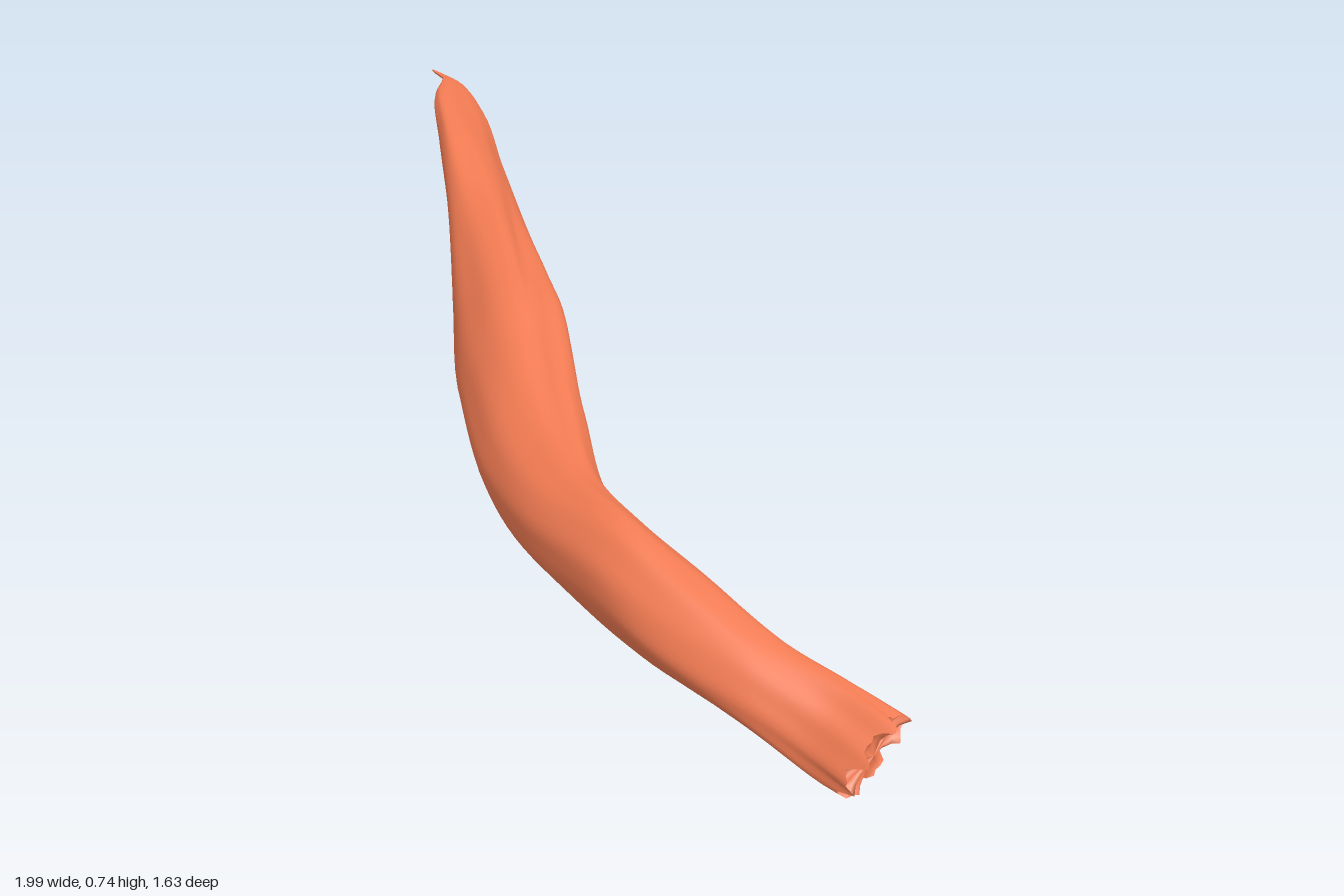
import * as THREE from 'three';

// Cross-sections from pointed tip to frayed end:
// centre x, y, z, half width, half height, tilt (positive: back edge raised)
const SECTIONS = [
  [-0.995, 0.74, -0.81, 0.004, 0.003, -0.6],
  [-0.935, 0.72, -0.8, 0.028, 0.018, -0.8],
  [-0.875, 0.685, -0.74, 0.062, 0.046, -0.85],
  [-0.77, 0.622, -0.61, 0.078, 0.08, -0.65],
  [-0.605, 0.543, -0.40, 0.092, 0.094, -0.25],
  [-0.44, 0.47, -0.18, 0.112, 0.114, 0.15],
  [-0.28, 0.398, 0.03, 0.127, 0.117, 0.4],
  [-0.12, 0.327, 0.235, 0.122, 0.1, 0.4],
  [0.055, 0.282, 0.42, 0.10, 0.094, 0.3],
  [0.24, 0.254, 0.535, 0.086, 0.108, 0.25],
  [0.43, 0.207, 0.61, 0.093, 0.094, 0.35],
  [0.64, 0.152, 0.67, 0.082, 0.075, 0.5],
  [0.83, 0.098, 0.703, 0.072, 0.08, 0.8],
  [0.945, 0.077, 0.735, 0.076, 0.074, 0.9],
];
const SIDES = 48;
const RINGS = 84;

const centreLine = new THREE.CatmullRomCurve3(SECTIONS.map((s) => new THREE.Vector3(s[0], s[1], s[2])));
const sizes = new THREE.CatmullRomCurve3(SECTIONS.map((s) => new THREE.Vector3(s[3], s[4], s[5])));

// Bump that is 1 at the centre and fades to 0 over the given width
const bump = (v, centre, width) => Math.exp(-(((v - centre) / width) ** 2));

// Point on the skin: u along the length, angle from front side (0) over the top
function skinPoint(u, angle, scale = 1, push = 0) {
  const c = centreLine.getPoint(u);
  const t = centreLine.getTangent(u);
  const size = sizes.getPoint(u);
  const side = new THREE.Vector3(-t.z, 0, t.x).normalize();
  // long groove beside the back ridge, a shallower one low on the front, fine wrinkles
  const groove = 0.12 * bump(angle, 2.2 + 0.2 * Math.sin(u * 9), 0.22) * bump(u, 0.43, 0.18)
    + 0.08 * bump(angle, 5.6 - u, 0.25) * bump(u, 0.62, 0.25);
  const wrinkle = 0.018 * Math.sin(angle * 5 + u * 17) + 0.012 * Math.sin(angle * 9 - u * 23)
    + 0.04 * bump(u, 1, 0.14) * Math.sin(angle * 8 + u * 5);
  const r = scale * (1 - groove + wrinkle);
  return c
    .addScaledVector(side, size.x * r * Math.cos(angle))
    .add(new THREE.Vector3(0, size.y * r * Math.sin(angle - size.z), 0))
    .addScaledVector(t, push);
}

// Uneven length of the torn fibres around the end, longest on the raised back edge
const fray = (angle) => 0.015 * Math.cos(angle - 2.3) + 0.017 * Math.sin(angle * 7 + 1) + 0.01 * Math.sin(angle * 13 + 2);

// Closed loft through rings of points
function loft(rings) {
  const positions = [];
  const index = [];
  rings.forEach((ring) => ring.forEach((p) => positions.push(p.x, Math.max(p.y, 0), p.z)));
  for (let i = 0; i < rings.length - 1; i++) {
    for (let j = 0; j < SIDES; j++) {
      const a = i * SIDES + j;
      const b = i * SIDES + ((j + 1) % SIDES);
      index.push(a, a + SIDES, b, b, a + SIDES, b + SIDES);
    }
  }
  const geometry = new THREE.BufferGeometry();
  geometry.setAttribute('position', new THREE.Float32BufferAttribute(positions, 3));
  geometry.setIndex(index);
  geometry.computeVertexNormals();
  return geometry;
}

const makeRing = (fn) => Array.from({ length: SIDES }, (_, j) => fn((j / SIDES) * Math.PI * 2));

export function createModel() {
  const group = new THREE.Group();
  group.name = 'curvedStrip';
  const material = new THREE.MeshStandardMaterial({ color: 0xf07a52, side: THREE.DoubleSide });

  // Long wrinkled body, its last rings stretched into a ragged rim
  const bodyRings = [];
  for (let i = 0; i <= RINGS; i++) {
    const u = i / RINGS;
    const ragged = THREE.MathUtils.smoothstep(u, 0.93, 1);
    bodyRings.push(makeRing((a) => skinPoint(u, a, 1, ragged * fray(a))));
  }
  const body = new THREE.Mesh(loft(bodyRings), material);
  body.name = 'body';
  group.add(body);

  // Torn end face, sinking slightly inward from the ragged rim
  const endRings = [[1, 1, 0], [0.8, 0.6, -0.005], [0.45, 0.2, -0.005], [0.001, 0, 0]]
    .map(([scale, jag, push]) => makeRing((a) => skinPoint(1, a, scale, jag * fray(a) + push)));
  const end = new THREE.Mesh(loft(endRings), material);
  end.name = 'frayedEnd';
  group.add(end);

  return group;
}
